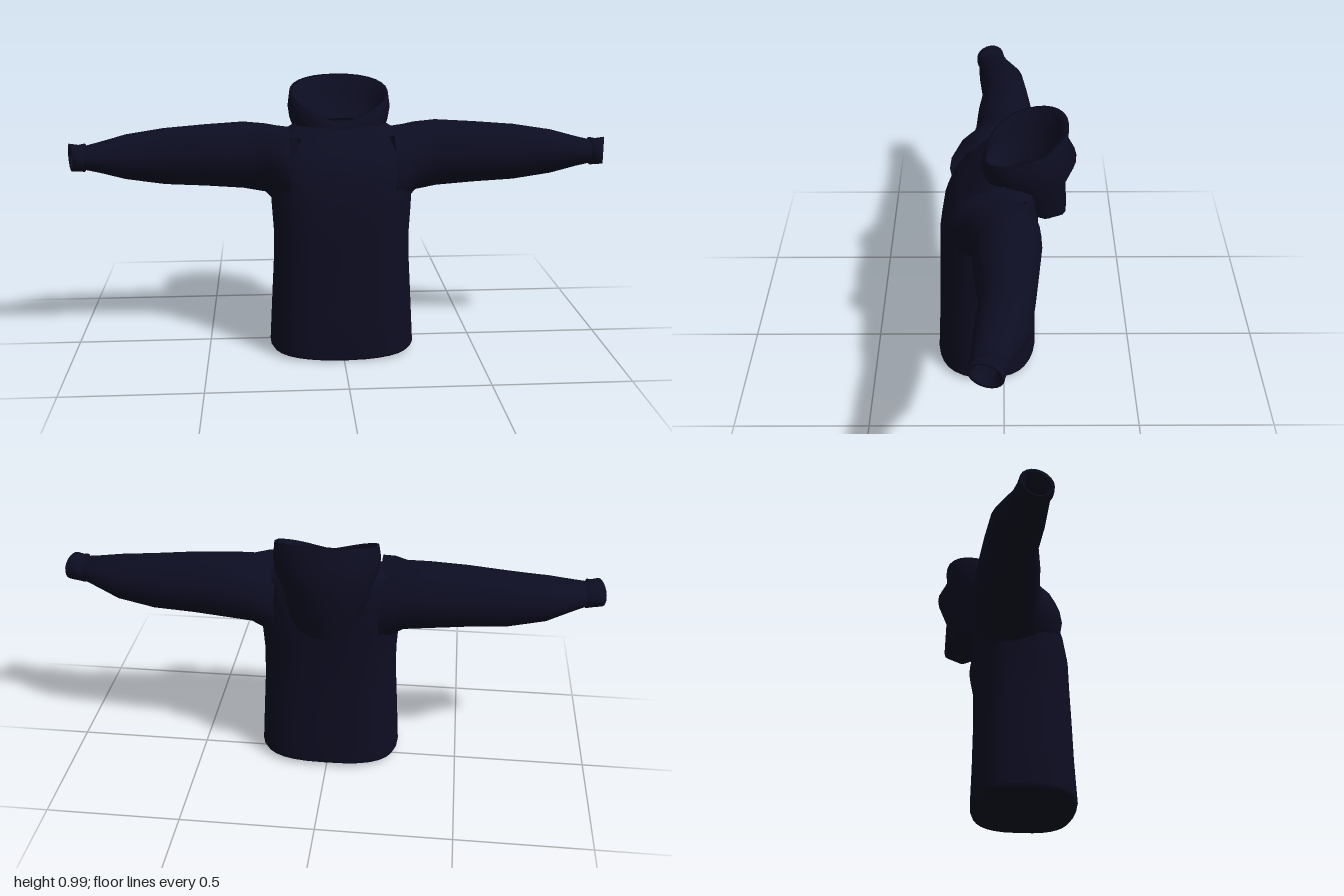
import * as THREE from 'three';

const navy = new THREE.MeshStandardMaterial({ color: 0x0d0d22, side: THREE.DoubleSide });
navy.name = 'dark navy cloth';

// Superellipse helper: keeps the sign, raises the magnitude.
const spow = (v, e) => Math.sign(v) * Math.pow(Math.abs(v), e);

// Skin closed rings of points; skip(centre) may leave openings.
function loft(name, rings, skip = () => false) {
  const n = rings[0].length;
  const index = [];
  for (let i = 0; i < rings.length - 1; i++) {
    for (let j = 0; j < n; j++) {
      const k = (j + 1) % n;
      const mid = rings[i][j].clone().add(rings[i + 1][k]).multiplyScalar(0.5);
      if (skip(mid)) continue;
      const a = i * n + j, b = i * n + k, c = a + n, d = b + n;
      index.push(a, b, d, a, d, c);
    }
  }
  const geometry = new THREE.BufferGeometry().setFromPoints(rings.flat());
  geometry.setIndex(index);
  geometry.computeVertexNormals();
  const mesh = new THREE.Mesh(geometry, navy);
  mesh.name = name;
  return mesh;
}

// Ring around y: half width, front z/y, back z/y; the height blends front to back.
function ringY([hw, zf, yf, zb, yb], n, e, p) {
  return Array.from({ length: n }, (_, j) => {
    const a = (j / n) * Math.PI * 2;
    const t = (1 - Math.cos(a)) / 2;
    return new THREE.Vector3(
      hw * spow(Math.sin(a), e),
      yf + (yb - yf) * Math.pow(t, p),
      (zf + zb) / 2 + ((zf - zb) / 2) * spow(Math.cos(a), e));
  });
}

// Ring around x: position, top, bottom, back z, front z, slant of the end.
function ringX([x, top, bottom, back, front, slant = 0], side, n = 20) {
  return Array.from({ length: n }, (_, j) => {
    const s = Math.sin(side * (j / n) * Math.PI * 2);
    const c = Math.cos((j / n) * Math.PI * 2);
    return new THREE.Vector3(
      side * (x - slant * (1 + s) / 2),
      (top + bottom) / 2 + ((top - bottom) / 2) * c,
      (front + back) / 2 + ((front - back) / 2) * s);
  });
}

export function createModel() {
  const group = new THREE.Group();
  group.name = 'hoodedTop';

  // Torso, with armholes left open inside the sleeves
  const torso = [
    [0.262, 0.247, 0.002, -0.120, 0.020],
    [0.270, 0.259, 0.016, -0.125, 0.034],
    [0.262, 0.250, 0.18, -0.120, 0.18],
    [0.253, 0.245, 0.34, -0.117, 0.34],
    [0.251, 0.240, 0.46, -0.118, 0.46],
    [0.257, 0.237, 0.56, -0.123, 0.55],
    [0.262, 0.220, 0.66, -0.127, 0.64],
    [0.258, 0.198, 0.71, -0.127, 0.70],
    [0.250, 0.165, 0.755, -0.125, 0.76],
    [0.225, 0.110, 0.805, -0.118, 0.81],
    [0.165, 0.075, 0.840, -0.095, 0.845],
  ].map(r => ringY(r, 32, 0.72, 0.5));
  group.add(loft('torso', torso, m =>
    Math.abs(m.x) > 0.17 && m.y > 0.65 && m.y < 0.8 && m.z > -0.08 && m.z < 0.13));

  // Underside of the hem
  const centre = torso[0].map(() => new THREE.Vector3(0, 0.02, 0.06));
  group.add(loft('hemUnderside', [centre, torso[0].map(v => v.clone())]));

  // Sleeves and ribbed cuffs
  const sleeve = [
    [0.19, 0.838, 0.53, -0.122, 0.205],
    [0.235, 0.842, 0.555, -0.126, 0.185],
    [0.28, 0.846, 0.592, -0.129, 0.130],
    [0.36, 0.852, 0.604, -0.130, 0.110],
    [0.50, 0.844, 0.615, -0.116, 0.102],
    [0.65, 0.832, 0.622, -0.100, 0.084],
    [0.79, 0.812, 0.648, -0.082, 0.098],
    [0.88, 0.790, 0.678, -0.040, 0.102],
    [0.935, 0.778, 0.694, -0.012, 0.104],
  ];
  const cuff = [
    [0.925, 0.772, 0.698, -0.004, 0.100],
    [0.932, 0.788, 0.686, -0.016, 0.110],
    [0.960, 0.784, 0.688, -0.008, 0.112, 0.015],
    [1.000, 0.790, 0.690, 0.000, 0.112, 0.035],
    [0.996, 0.778, 0.698, 0.010, 0.100, 0.033],
    [0.950, 0.766, 0.705, 0.020, 0.086, 0.010],
  ];
  for (const side of [1, -1]) {
    const label = side > 0 ? 'left' : 'right';
    group.add(loft(label + 'Sleeve', sleeve.map(r => ringX(r, side))));
    group.add(loft(label + 'Cuff', cuff.map(r => ringX(r, side))));
  }

  // Hood lying back: outer pouch up to the rim, then the lining down to the neck
  const hood = [
    [0.110, 0.070, 0.815, -0.120, 0.632, 1.3],
    [0.125, 0.078, 0.815, -0.175, 0.615, 1.3],
    [0.145, 0.084, 0.816, -0.230, 0.643, 1.3],
    [0.165, 0.088, 0.818, -0.225, 0.780, 1.0],
    [0.185, 0.084, 0.828, -0.260, 0.870, 0.8],
    [0.192, 0.076, 0.842, -0.226, 0.930, 0.6],
    [0.185, 0.068, 0.856, -0.230, 0.996, 0.55],
    [0.172, 0.060, 0.856, -0.205, 0.992, 0.55],
    [0.150, 0.066, 0.838, -0.190, 0.930, 0.7],
    [0.120, 0.068, 0.815, -0.130, 0.850, 1.0],
    [0, -0.02, 0.79, -0.02, 0.79, 1],
  ].map(r => ringY(r, 28, 0.92, r[5]));
  group.add(loft('hood', hood));

  return group;
}
